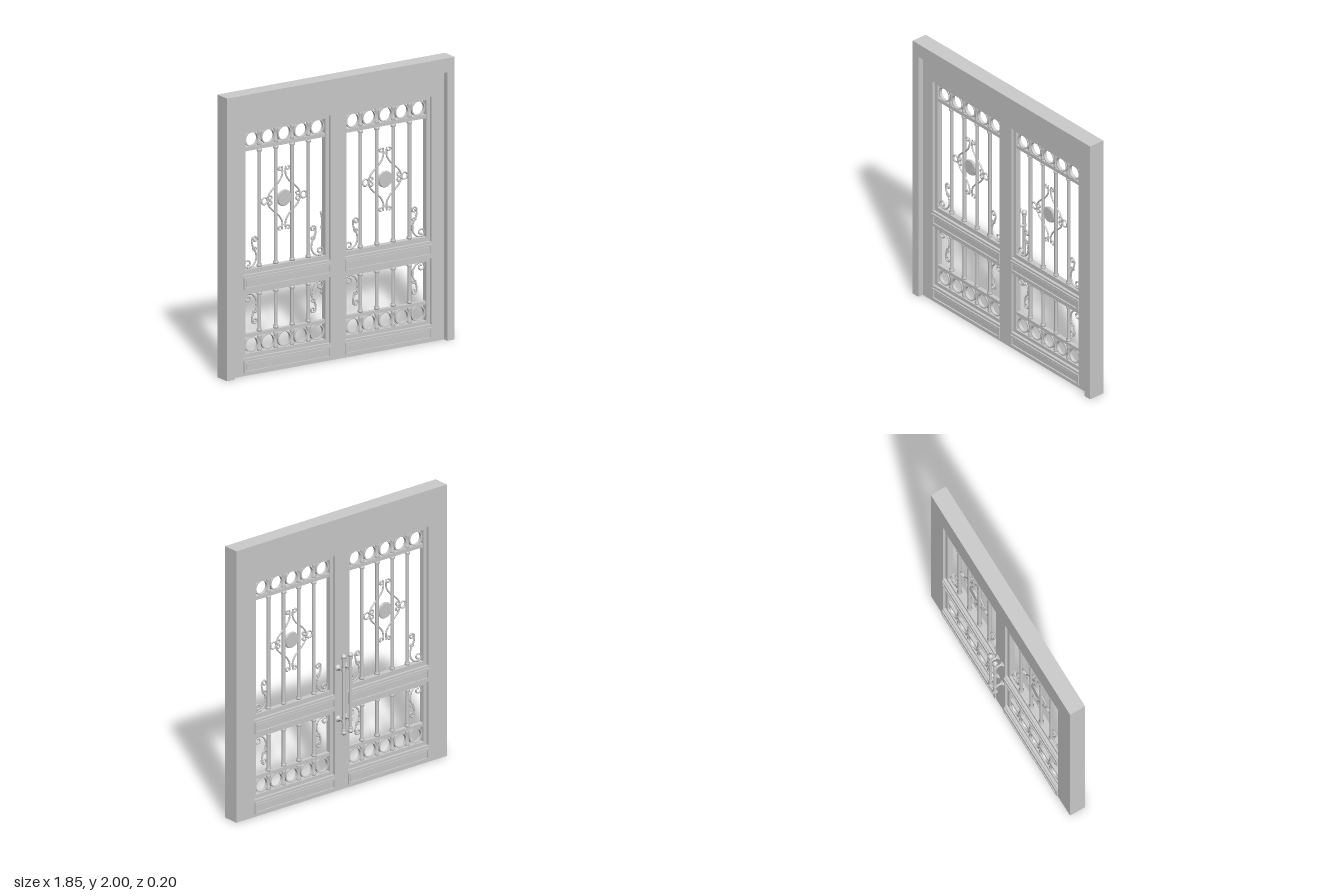
import * as THREE from 'three';

const mat = new THREE.MeshStandardMaterial({ color: 0xcccccc });
const flat = new THREE.MeshStandardMaterial({ color: 0xcccccc, flatShading: true });
const MID = 0.02; // z of the grille plane
const X0 = 0.058, X1 = 0.763; // one leaf's openings
const CX = (X0 + X1) / 2;
const PITCH = 0.133;
const BACK = -0.02, FACE = 0.06;

function add(parent, name, geo, x = 0, y = 0, z = 0, m = mat) {
  const mesh = new THREE.Mesh(geo, m);
  mesh.name = name;
  mesh.position.set(x, y, z);
  parent.add(mesh);
  return mesh;
}

function box(parent, name, x0, x1, y0, y1, z0, z1) {
  return add(parent, name, new THREE.BoxGeometry(x1 - x0, y1 - y0, z1 - z0),
    (x0 + x1) / 2, (y0 + y1) / 2, (z0 + z1) / 2, flat);
}

function rect(x0, x1, y0, y1, Type = THREE.Path) {
  return new Type([[x0, y0], [x1, y0], [x1, y1], [x0, y1]].map(p => new THREE.Vector2(...p)));
}

function plate(parent, name, shape, z0, z1) {
  return add(parent, name, new THREE.ExtrudeGeometry(shape, { depth: z1 - z0, bevelEnabled: false, curveSegments: 24 }), 0, 0, z0, flat);
}

// Rectangular ring
function border(parent, name, o, i, z0, z1) {
  const s = rect(...o, THREE.Shape);
  s.holes.push(rect(...i));
  return plate(parent, name, s, z0, z1);
}

const lathe = (pts, seg = 14) => new THREE.LatheGeometry(pts.map(p => new THREE.Vector2(...p)), seg);

// Points along a spiral; angles in degrees
function spiral(cx, cy, r0, r1, a0, a1, n = 14) {
  return Array.from({ length: n + 1 }, (_, i) => {
    const t = i / n, a = (a0 + (a1 - a0) * t) * Math.PI / 180, r = r0 + (r1 - r0) * t;
    return [cx + r * Math.cos(a), cy + r * Math.sin(a)];
  });
}

// Wrought rod through 2D points, mirrored by the signs sx and sy
function rod(parent, name, pts, x, y, sx = 1, sy = 1, r = 0.006) {
  const curve = new THREE.CatmullRomCurve3(pts.map(p => new THREE.Vector3(p[0] * sx, p[1] * sy, 0)));
  add(parent, name, new THREE.TubeGeometry(curve, 84, r, 6), x, y, MID);
  for (const p of [pts[0], pts[pts.length - 1]])
    add(parent, name + 'Tip', new THREE.SphereGeometry(r * 1.3, 8, 6), x + p[0] * sx, y + p[1] * sy, MID);
}

// S-shaped scroll filling a corner, with a small side curl
function cornerScroll(parent, x, y, sx, sy) {
  const g = new THREE.Group();
  g.name = 'cornerScroll';
  parent.add(g);
  rod(g, 'scroll', [
    ...spiral(0.033, 0.035, 0.012, 0.03, -450, -90),
    [0.07, 0.014], [0.098, 0.05], [0.098, 0.1], [0.076, 0.145], [0.066, 0.18],
    ...spiral(0.088, 0.2, 0.022, 0.01, 170, -190),
  ], x, y, sx, sy);
  rod(g, 'sideCurl', [[0.068, 0.165], [0.073, 0.14], ...spiral(0.09, 0.135, 0.016, 0.007, 200, 470, 9)], x, y, sx, sy, 0.005);
}

// Round upright with turned collars at both ends
function bar(parent, x, y0, y1) {
  const k = 0.019, r = 0.0125;
  add(parent, 'grilleBar', lathe([
    [0.013, y0], [k, y0 + 0.005], [k, y0 + 0.016], [r, y0 + 0.024],
    [r, y1 - 0.024], [k, y1 - 0.016], [k, y1 - 0.005], [0.013, y1],
  ]), x, 0, MID);
}

// Row of five rings with turned dividers between them
function ringRow(parent, y0, y1) {
  const y = (y0 + y1) / 2;
  for (let i = -2; i <= 2; i++) {
    const s = new THREE.Shape().absarc(0, 0, 0.056, 0, Math.PI * 2);
    s.holes.push(new THREE.Path().absarc(0, 0, 0.047, 0, Math.PI * 2, true));
    plate(parent, 'ring', s, MID - 0.011, MID + 0.011).position.set(CX + i * PITCH, y, MID - 0.011);
    if (i < 2) add(parent, 'ringDivider', lathe([
      [0.014, y0], [0.018, y0 + 0.012], [0.012, y0 + 0.026], [0.01, y],
      [0.012, y1 - 0.026], [0.018, y1 - 0.012], [0.014, y1],
    ]), CX + (i + 0.5) * PITCH, 0, MID);
  }
}

// Central medallion with four S-scrolls and two side rings
function medallion(parent, x, y) {
  const g = new THREE.Group();
  g.name = 'medallion';
  parent.add(g);
  add(g, 'disc', new THREE.CylinderGeometry(0.053, 0.053, 0.022, 28).rotateX(Math.PI / 2), x, y, MID);
  add(g, 'discRim', new THREE.TorusGeometry(0.053, 0.006, 8, 28), x, y, MID);
  for (const sx of [1, -1]) {
    add(g, 'sideRing', new THREE.TorusGeometry(0.024, 0.006, 8, 20), x + sx * 0.158, y, MID);
    for (const sy of [1, -1]) rod(g, 'scroll', [
      ...spiral(0.034, 0.213, 0.008, 0.02, 430, 150),
      [0.012, 0.19], [0.018, 0.155], [0.045, 0.115], [0.085, 0.08], [0.118, 0.045], [0.13, 0.015],
      ...spiral(0.112, 0.022, 0.019, 0.008, -50, -270, 9),
    ], x, y, sx, sy);
  }
}

// Raised moulding around a sunken field, on both faces
function panel(parent, y0, y1) {
  const w = 0.014;
  for (const [z0, z1] of [[BACK - 0.01, BACK], [FACE, FACE + 0.01]]) {
    border(parent, 'panelMoulding', [X0, X1, y0, y1], [X0 + w, X1 - w, y0 + w, y1 - w], z0, z1);
    const inset = z0 < 0 ? [z0 + 0.005, z1] : [z0, z1 - 0.005];
    box(parent, 'panelField', X0 + w + 0.006, X1 - w - 0.006, y0 + w + 0.006, y1 - w - 0.006, ...inset);
  }
}

function leaf() {
  const g = new THREE.Group();
  g.name = 'leafGrilles';
  const xa = 0.085, xb = 0.735;
  const trim = [MID - 0.02, MID + 0.02], rail = [MID - 0.015, MID + 0.015];
  // Upper and lower opening trims with their rails
  border(g, 'upperTrim', [X0, X1, 0.71, 1.735], [xa, xb, 0.742, 1.71], ...trim);
  border(g, 'lowerTrim', [X0, X1, 0.122, 0.592], [xa, xb, 0.148, 0.567], ...trim);
  box(g, 'upperRail', xa, xb, 1.58, 1.606, ...rail);
  box(g, 'lowerRail', xa, xb, 0.262, 0.286, ...rail);
  ringRow(g, 1.606, 1.71);
  ringRow(g, 0.148, 0.262);
  for (let i = -1.5; i <= 1.5; i++) {
    bar(g, CX + i * PITCH, 0.742, 1.58);
    bar(g, CX + i * PITCH, 0.286, 0.567);
  }
  medallion(g, CX, 1.198);
  for (const [x, s] of [[xa, 1], [xb, -1]]) {
    cornerScroll(g, x, 0.742, s, 1);
    cornerScroll(g, x, 0.567, s, -1);
  }
  panel(g, 0.61, 0.695);
  panel(g, 0.02, 0.105);
  return g;
}

function pullHandle(x) {
  const g = new THREE.Group();
  g.name = 'pullHandle';
  // Shaft with turned finials, mirrored about its middle
  const half = [[0.011, 0.25], [0.016, 0.254], [0.016, 0.262], [0.012, 0.266],
    [0.019, 0.274], [0.02, 0.282], [0.015, 0.29], [0.007, 0.297], [0, 0.3]];
  add(g, 'handleBar', lathe([...half.map(([r, y]) => [r, -y]).reverse(), ...half], 16), x, 0.725, -0.08);
  // Brackets reaching back to the door
  for (const y of [0.53, 0.905]) {
    add(g, 'handleBracket', lathe([[0.024, 0], [0.024, 0.005], [0.013, 0.011], [0.007, 0.02],
      [0.007, 0.036], [0.011, 0.046], [0.012, 0.06]], 16).rotateX(-Math.PI / 2), x, y, BACK);
    add(g, 'bracketCollar', new THREE.CylinderGeometry(0.014, 0.014, 0.024, 16), x, y, -0.08);
  }
  return g;
}

export function createModel() {
  const model = new THREE.Group();
  model.name = 'doubleDoor';

  // Raised surround on the front
  const surround = new THREE.Shape([[-0.925, 0], [-0.865, 0], [-0.865, 1.9], [0.865, 1.9],
    [0.865, 0], [0.925, 0], [0.925, 2], [-0.925, 2]].map(p => new THREE.Vector2(...p)));
  plate(model, 'surround', surround, FACE, 0.1);

  // Door slab with four openings
  const slab = rect(-0.925, 0.925, 0, 2, THREE.Shape);
  for (const [a, b] of [[X0, X1], [-X1, -X0]])
    slab.holes.push(rect(a, b, 0.71, 1.735), rect(a, b, 0.122, 0.592));
  plate(model, 'doorSlab', slab, BACK, FACE);

  // Both leaves are symmetric, so the right one is a shifted copy
  const left = leaf();
  const right = leaf();
  right.position.x = -2 * CX;
  model.add(left, right, pullHandle(0.03), pullHandle(-0.03));
  return model;
}
